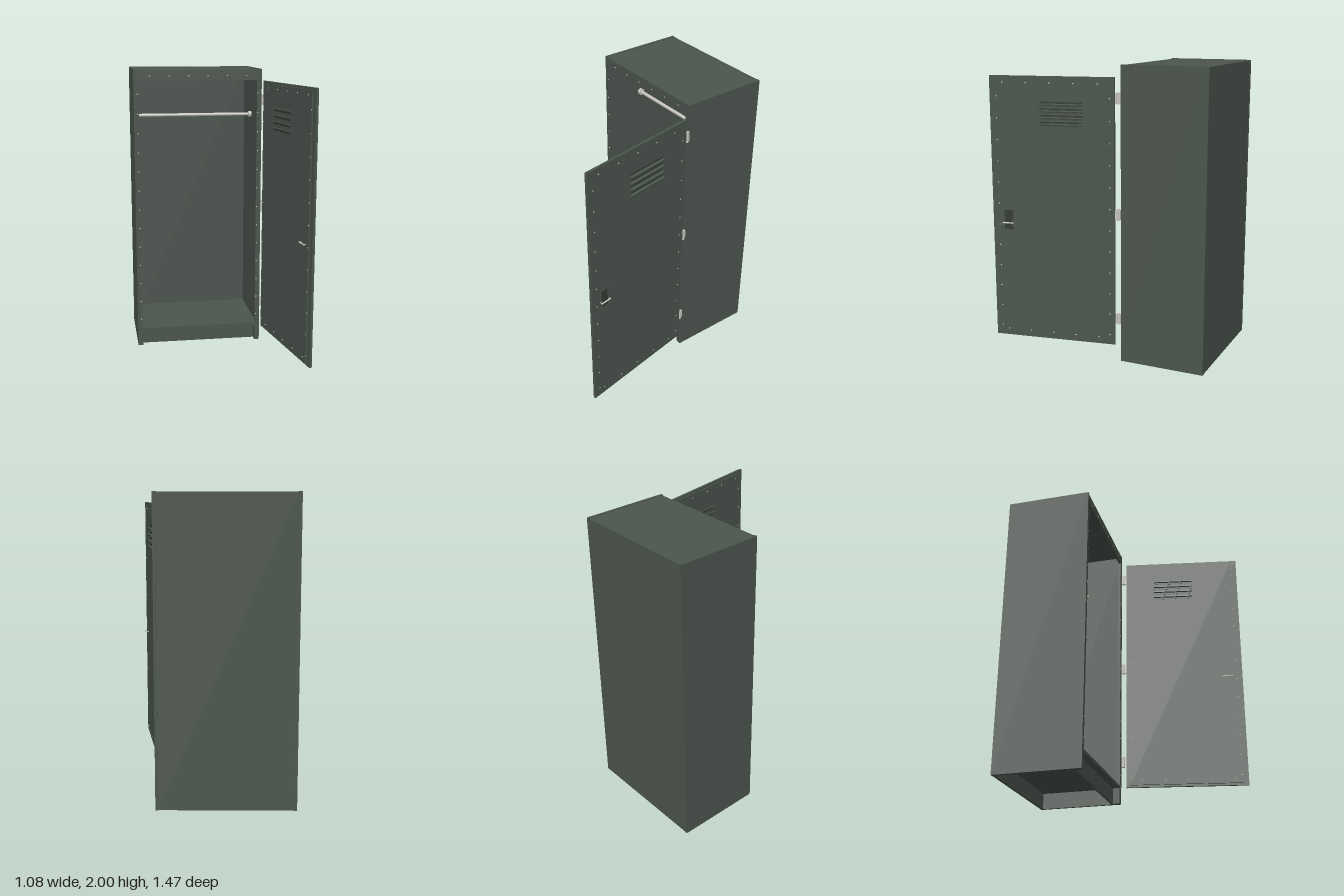
import * as THREE from 'three';

const material = (name, color, side = THREE.FrontSide) => {
  const m = new THREE.MeshStandardMaterial({ color, side });
  m.name = name;
  return m;
};

export function createModel() {
  const green = material('lockerGreen', 0x4c554e);
  const dark = material('recessDark', 0x343b37);
  const metal = material('brightMetal', 0xc8c6be);

  const root = new THREE.Group();
  root.name = 'locker';

  const group = (name, parent) => {
    const g = new THREE.Group();
    g.name = name;
    parent.add(g);
    return g;
  };
  const add = (parent, name, geometry, mat, x = 0, y = 0, z = 0) => {
    const m = new THREE.Mesh(geometry, mat);
    m.name = name;
    m.position.set(x, y, z);
    parent.add(m);
    return m;
  };
  // Box given by its lower and upper corners
  const box = (parent, name, mat, x0, x1, y0, y1, z0, z1) =>
    add(parent, name, new THREE.BoxGeometry(x1 - x0, y1 - y0, z1 - z0), mat,
      (x0 + x1) / 2, (y0 + y1) / 2, (z0 + z1) / 2);

  // Small domed rivet facing +z, or -z when dir is -1
  const rivetGeometry = new THREE.SphereGeometry(0.005, 8, 4, 0, Math.PI * 2, 0, Math.PI / 2);
  const rivet = (parent, x, y, z, dir = 1) => {
    const m = add(parent, 'rivet', rivetGeometry, metal, x, y, z);
    m.rotation.x = dir * Math.PI / 2;
    m.scale.y = 0.7;
  };

  // ---- Cabinet shell ----
  const L = -0.537, R = 0.364, F = -0.147, B = -0.735, T = 0.019;
  const mid = (L + R) / 2;
  const cabinet = group('cabinet', root);
  box(cabinet, 'sidePanel', green, L, L + T, 0, 2, B, F);
  box(cabinet, 'sidePanel', green, R - T, R, 0, 2, B, F);
  box(cabinet, 'backPanel', green, L + T, R - T, 0, 1.998, B + 0.002, B + T);
  box(cabinet, 'topPanel', green, L + T, R - T, 1.98, 1.996, B + T, F - 0.002);
  box(cabinet, 'floorPanel', green, L + T, R - T, 0.11, 0.13, B + T, F - 0.003);
  box(cabinet, 'header', green, L + T, R - T, 1.925, 1.98, F - 0.018, F - 0.001);
  box(cabinet, 'kickPlate', green, L + T, R - T, 0, 0.11, F - 0.065, F - 0.05);

  // Jambs, front feet and their rivets on both sides of the opening
  for (const s of [-1, 1]) {
    const edge = mid + s * (R - L) / 2;
    const span = (a, b) => [Math.min(edge - s * a, edge - s * b), Math.max(edge - s * a, edge - s * b)];
    box(cabinet, 'doorJamb', green, ...span(T, 0.034), 0.13, 1.925, F - 0.02, F - 0.001);
    box(cabinet, 'frontFoot', green, ...span(T, 0.036), 0, 0.11, F - 0.05, F - 0.001);
    for (let i = 0; i < 13; i++) rivet(cabinet, edge - s * 0.026, 0.2 + i * 0.136, F - 0.001);
  }
  for (let i = 0; i < 6; i++) rivet(cabinet, -0.425 + i * 0.136, 1.955, F - 0.001);

  // ---- Hanging rod with end flanges ----
  const rod = group('hangingRod', root);
  rod.position.set(mid, 1.66, -0.43);
  rod.rotation.z = Math.PI / 2;
  add(rod, 'rod', new THREE.CylinderGeometry(0.012, 0.012, 0.86, 24), metal);
  for (const s of [-1, 1])
    add(rod, 'rodFlange', new THREE.CylinderGeometry(0.022, 0.022, 0.02, 24), metal, 0, s * 0.42, 0);

  // ---- Door, swung open; local x runs from hinge to free edge, local +z is inside ----
  const door = group('door', root);
  door.position.set(0.376, 0, -0.112);
  door.rotation.y = -THREE.MathUtils.degToRad(80);
  const W = 0.855, Y0 = 0.12, Y1 = 1.92;
  const outer = -0.01, skin = 0.007, inner = 0.017;
  box(door, 'doorSkin', green, 0, W, Y0, Y1, outer, skin);
  box(door, 'doorInnerPanel', green, 0.03, W - 0.04, Y0 + 0.015, Y1 - 0.015, skin, inner);

  // Door rivets on both faces
  const bothRivets = (x, y) => {
    rivet(door, x, y, outer, -1);
    rivet(door, x, y, inner);
  };
  for (let i = 0; i < 12; i++)
    for (const x of [0.034, W - 0.044]) bothRivets(x, 0.19 + i * 0.145);
  for (let i = 0; i < 5; i++)
    for (const y of [0.165, 1.875]) bothRivets(0.113 + i * 0.163, y);

  // Louvres: slanted slats passing through the door
  for (let i = 0; i < 4; i++) {
    const y = 1.612 + i * 0.0435;
    box(door, 'louvreSlot', dark, 0.218, 0.504, y - 0.013, y + 0.013, outer - 0.001, inner + 0.001);
    const slat = box(door, 'louvreSlat', green, 0.215, 0.507, y - 0.005, y + 0.005, -0.027, 0.027);
    slat.rotation.x = -0.32;
  }

  // Latch: dark cup with a rim on the outside, and a handle on each face
  const latch = group('latch', door);
  const lx0 = 0.712, lx1 = 0.778, ly0 = 0.88, ly1 = 1.022, lx = (lx0 + lx1) / 2;
  box(latch, 'latchPlate', dark, lx0, lx1, ly0, ly1, outer - 0.002, outer);
  for (const [a, b, c, d] of [
    [lx0, lx0 + 0.005, ly0, ly1], [lx1 - 0.005, lx1, ly0, ly1],
    [lx0, lx1, ly0, ly0 + 0.005], [lx0, lx1, ly1 - 0.005, ly1],
  ]) box(latch, 'latchRim', green, a, b, c, d, outer - 0.005, outer);
  for (const [face, s] of [[outer, -1], [inner, 1]]) {
    const z = face + s * 0.016;
    const bar = add(latch, 'latchBar', new THREE.CylinderGeometry(0.005, 0.005, 0.076, 12), metal, lx, 0.93, z);
    bar.rotation.z = Math.PI / 2;
    for (const e of [-1, 1]) {
      const post = add(latch, 'latchPost', new THREE.CylinderGeometry(0.004, 0.004, 0.018, 10), metal,
        lx + e * 0.033, 0.93, face + s * 0.008);
      post.rotation.x = Math.PI / 2;
    }
  }

  // ---- Hinges: knuckle with one leaf to the cabinet and one to the door ----
  for (const y of [0.305, 1.025, 1.787]) {
    const hinge = group('hinge', root);
    hinge.position.set(0.37, y, -0.132);
    add(hinge, 'hingeKnuckle', new THREE.CylinderGeometry(0.01, 0.01, 0.076, 16), metal);
    box(hinge, 'cabinetLeaf', metal, -0.006, 0.006, -0.034, 0.034, -0.016, 0);
    const leaf = box(hinge, 'doorLeaf', metal, 0, 0.006, -0.034, 0.034, 0, 0.024);
    leaf.rotation.y = 0.17;
  }

  return root;
}
